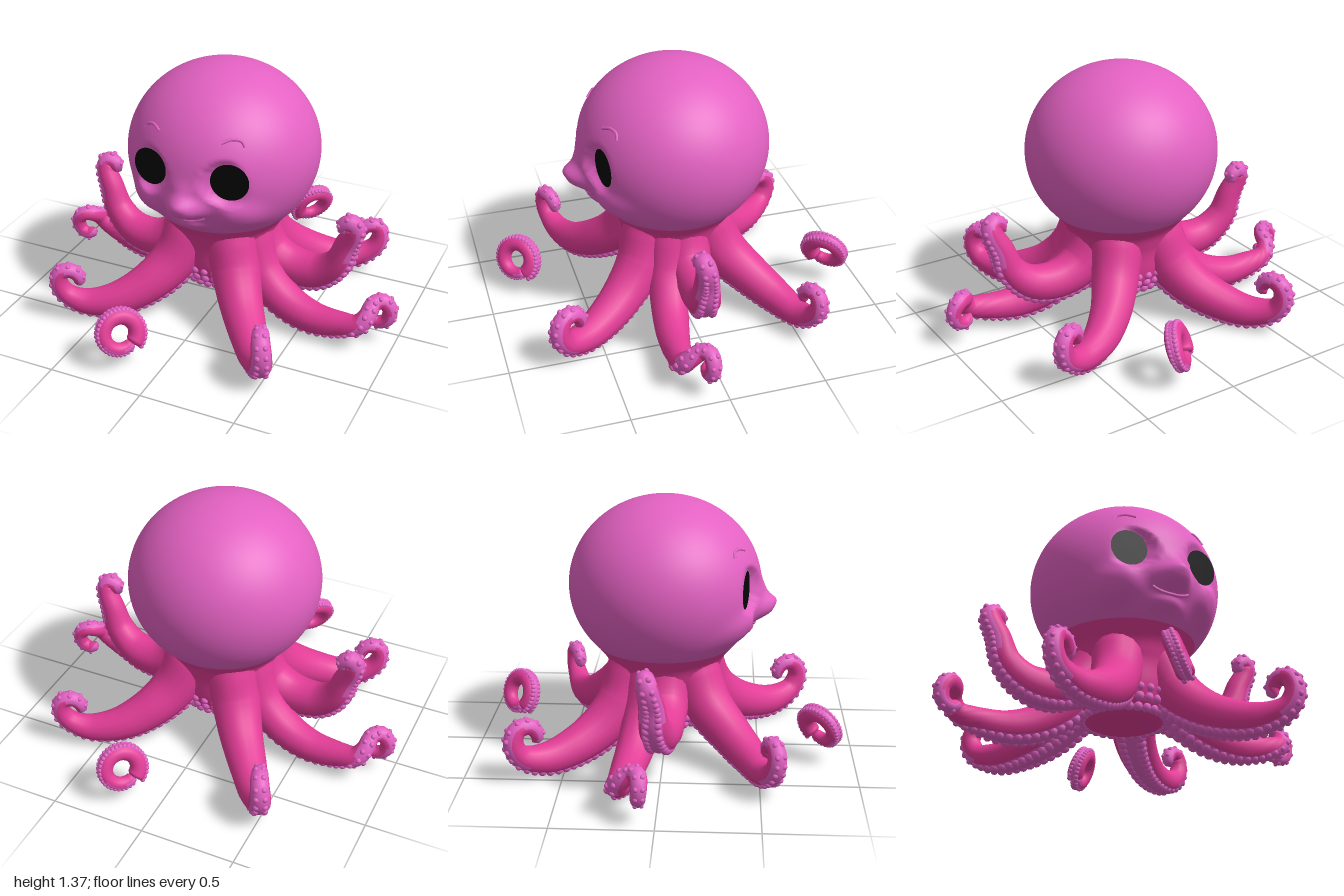
import * as THREE from 'three';
import { mergeGeometries, mergeVertices } from 'three/addons/utils/BufferGeometryUtils.js';

const V = (x, y, z) => new THREE.Vector3(x, y, z);
const { lerp, smoothstep } = THREE.MathUtils;

const orchid = new THREE.MeshStandardMaterial({ name: 'orchid', color: 0xe361c2 });
const pink = new THREE.MeshStandardMaterial({ name: 'hotPink', color: 0xe33d97 });
const black = new THREE.MeshStandardMaterial({ name: 'black', color: 0x050505 });

const HEAD_Y = 0.905, HEAD_H = 0.462, HEAD_R = 0.5;
const headRadius = y => HEAD_R * Math.sqrt(Math.max(0, 1 - ((y - HEAD_Y) / HEAD_H) ** 2));

// Face relief: [x, y, width, height, depth, bluntness], mirrored in x
const bumps = [
  [0, 0.785, 0.095, 0.065, 0.08, 1.7],  // nose
  [0, 0.86, 0.06, 0.06, 0.03, 1],       // bridge
  [0.27, 0.735, 0.095, 0.085, 0.04, 1.5], // cheek
  [0, 0.665, 0.08, 0.035, 0.03, 1.3],   // chin
];
const EYE_X = 0.215, EYE_Y = 0.935, EYE_SLOPE = 0.19;
const eyePlane = x => 0.412 - EYE_SLOPE * (Math.abs(x) - EYE_X);

function faceZ(x, y, z) {
  const ax = Math.abs(x);
  for (const [bx, by, w, h, d, blunt] of bumps) {
    z += d * Math.exp(-((((ax - bx) / w) ** 2 + ((y - by) / h) ** 2) ** blunt));
  }
  const d = Math.hypot(ax - EYE_X, y - EYE_Y);
  return z + (1 - smoothstep(d, 0.1, 0.13)) * Math.min(0, eyePlane(x) - z);
}
const surface = (x, y) => V(x, y, faceZ(x, y, Math.sqrt(Math.max(0, headRadius(y) ** 2 - x * x))));

function makeHead() {
  const profile = [];
  for (let i = 0; i <= 80; i++) {
    const a = lerp(-0.74, Math.PI / 2, i / 80);
    profile.push(new THREE.Vector2(HEAD_R * Math.cos(a), HEAD_Y + HEAD_H * Math.sin(a)));
  }
  let geo = new THREE.LatheGeometry(profile, 128);
  geo.deleteAttribute('uv');
  geo.deleteAttribute('normal');
  geo = mergeVertices(geo, 1e-5);
  const p = geo.attributes.position;
  for (let i = 0; i < p.count; i++) {
    if (p.getZ(i) > 0) p.setZ(i, faceZ(p.getX(i), p.getY(i), p.getZ(i)));
  }
  geo.computeVertexNormals();
  return geo;
}

function radiusAt(radii, u) {
  const f = u * (radii.length - 1), i = Math.min(Math.floor(f), radii.length - 2);
  return lerp(radii[i], radii[i + 1], f - i);
}

// Tapered arm along a path: pink tube, orchid sucker strip and two rows of suckers.
// The suckers start on the underside and turn to the outside of the curl.
function makeArm(name, points, radii, underside, curlCentre, stripFrom, roundStart) {
  const curve = new THREE.CatmullRomCurve3(points);
  const SEG = 72, SIDES = 16, frames = [];
  const N = underside.clone();
  for (let i = 0; i <= SEG; i++) {
    const u = i / SEG, T = curve.getTangentAt(u), c = curve.getPointAt(u);
    const outward = c.clone().sub(curlCentre).normalize();
    N.lerp(outward, 0.25 * smoothstep(u, 0.5, 0.75));
    N.addScaledVector(T, -N.dot(T)).normalize();
    frames.push({ c, n: N.clone(), b: T.clone().cross(N), r: radiusAt(radii, u), u });
  }
  const at = (f, a, r) => f.c.clone().addScaledVector(f.n, r * Math.cos(a)).addScaledVector(f.b, r * Math.sin(a));
  const cap = e => Math.sqrt(Math.max(0, 1 - (1 - Math.min(1, e / 0.04)) ** 2));

  const pos = [], top = [], strip = [];
  frames.forEach((f, i) => {
    const r = f.r * cap(1 - f.u) * (roundStart ? cap(f.u) : 1);
    for (let j = 0; j < SIDES; j++) pos.push(...at(f, j / SIDES * Math.PI * 2, r).toArray());
    if (i === SEG) return;
    const half = f.u > 0.88 ? 4 : f.u > 0.7 ? 3 : 2;
    for (let j = 0; j < SIDES; j++) {
      const k = (j + 1) % SIDES, a = i * SIDES + j, b = i * SIDES + k;
      const under = (j < half || j >= SIDES - half) && f.u >= stripFrom;
      (under ? strip : top).push(a, b, a + SIDES, b, b + SIDES, a + SIDES);
    }
  });
  const geo = new THREE.BufferGeometry();
  geo.setAttribute('position', new THREE.Float32BufferAttribute(pos, 3));
  geo.setIndex([...top, ...strip]);
  geo.addGroup(0, top.length, 0);
  geo.addGroup(top.length, strip.length, 1);
  geo.computeVertexNormals();
  const arm = new THREE.Mesh(geo, [pink, orchid]);
  arm.name = name;

  const balls = [];
  for (let i = Math.ceil(stripFrom * SEG) + 2; i < SEG - 2; i += 2) {
    for (const s of [-1, 1]) {
      const f = frames[i], q = at(f, s * 0.48, f.r * 0.88), size = f.r * 0.25 + 0.003;
      balls.push(new THREE.SphereGeometry(size, 8, 6).translate(q.x, q.y, q.z));
    }
  }
  const suckers = new THREE.Mesh(mergeGeometries(balls), orchid);
  suckers.name = name + 'Suckers';
  const group = new THREE.Group();
  group.name = name + 'Group';
  group.add(arm, suckers);
  return group;
}

export function createModel() {
  const model = new THREE.Group();
  model.name = 'octopus';
  const add = (name, geo, mat) => {
    const m = new THREE.Mesh(geo, mat);
    m.name = name;
    model.add(m);
    return m;
  };

  add('head', makeHead(), orchid);

  // Neck and underside that join the arms
  const neck = [[0, 0.15], [0.12, 0.15], [0.22, 0.19], [0.262, 0.28], [0.275, 0.4], [0.29, 0.46], [0.315, 0.525], [0.37, 0.594]];
  const neckCurve = new THREE.SplineCurve(neck.map(([x, y]) => new THREE.Vector2(x, y)));
  add('neck', new THREE.LatheGeometry(neckCurve.getPoints(36), 64), pink);

  // Suckers around the rim of the underside
  const rim = [];
  for (const [r, y, size] of [[0.215, 0.19, 0.026], [0.24, 0.235, 0.026], [0.257, 0.28, 0.022]]) {
    for (let i = 0; i < 30; i++) {
      const a = i / 30 * Math.PI * 2;
      rim.push(new THREE.SphereGeometry(size, 8, 6).translate(r * Math.sin(a), y, r * Math.cos(a)));
    }
  }
  add('rimSuckers', mergeGeometries(rim), orchid);

  // Eyes and brows
  for (const s of [-1, 1]) {
    const side = s > 0 ? 'left' : 'right';
    const eye = add(side + 'Eye', new THREE.CircleGeometry(0.097, 48), black);
    eye.position.set(s * EYE_X, EYE_Y, eyePlane(EYE_X) + 0.006);
    eye.rotation.y = s * Math.atan(EYE_SLOPE);
    const brow = [[0.27, 1.11], [0.25, 1.135], [0.21, 1.145], [0.165, 1.13]].map(([x, y]) => surface(s * x, y));
    add(side + 'Brow', new THREE.TubeGeometry(new THREE.CatmullRomCurve3(brow), 20, 0.008, 8), orchid);
  }

  // Smiling lip
  const smile = [];
  for (let i = -4; i <= 4; i++) smile.push(surface(i * 0.026, 0.705 + 0.0016 * i * i));
  add('mouth', new THREE.TubeGeometry(new THREE.CatmullRomCurve3(smile), 32, 0.009, 8), orchid);

  // Four arms, each repeated by a half turn about y
  const arms = {
    raisedArm: {
      path: [[0.15, 0.6, 0], [0.18, 0.46, -0.01], [0.26, 0.33, -0.015], [0.4, 0.27, -0.015], [0.55, 0.285, 0], [0.655, 0.375, 0.02],
        [0.7, 0.5, 0.03], [0.74, 0.59, 0.045], [0.74, 0.635, 0.055], [0.705, 0.64, 0.06], [0.69, 0.605, 0.06], [0.72, 0.595, 0.06]],
      radii: [0.13, 0.13, 0.12, 0.105, 0.095, 0.08, 0.066, 0.054, 0.036],
      curl: V(0.715, 0.61, 0.05),
    },
    sideArm: {
      path: [[0.15, 0.6, 0.05], [0.18, 0.45, 0.07], [0.26, 0.27, 0.095], [0.4, 0.15, 0.13], [0.56, 0.1, 0.16], [0.72, 0.11, 0.18],
        [0.83, 0.14, 0.19], [0.87, 0.19, 0.165], [0.885, 0.235, 0.11], [0.925, 0.242, 0.08], [0.962, 0.2, 0.075],
        [0.95, 0.135, 0.08], [0.9, 0.115, 0.085], [0.862, 0.155, 0.09]],
      radii: [0.13, 0.125, 0.11, 0.098, 0.085, 0.066, 0.046, 0.04, 0.032],
      curl: V(0.905, 0.18, 0.09),
    },
    frontArm: {
      path: [[0.11, 0.6, 0.12], [0.12, 0.46, 0.17], [0.165, 0.31, 0.22], [0.24, 0.19, 0.325], [0.34, 0.115, 0.46], [0.43, 0.09, 0.59],
        [0.505, 0.13, 0.7], [0.525, 0.21, 0.735], [0.51, 0.28, 0.71], [0.485, 0.285, 0.65], [0.475, 0.235, 0.62], [0.485, 0.2, 0.645]],
      radii: [0.13, 0.135, 0.13, 0.115, 0.1, 0.082, 0.058, 0.046, 0.034],
      curl: V(0.5, 0.22, 0.68),
    },
    cornerArm: {
      path: [[-0.12, 0.6, 0.11], [-0.13, 0.46, 0.16], [-0.185, 0.31, 0.23], [-0.28, 0.2, 0.34], [-0.42, 0.12, 0.45], [-0.57, 0.1, 0.52],
        [-0.67, 0.15, 0.56], [-0.7, 0.22, 0.575], [-0.685, 0.28, 0.57], [-0.63, 0.285, 0.545], [-0.6, 0.24, 0.53], [-0.62, 0.2, 0.535]],
      radii: [0.13, 0.135, 0.125, 0.11, 0.095, 0.076, 0.055, 0.043, 0.033],
      curl: V(-0.65, 0.22, 0.55),
    },
  };

  // Separate curled ring, leaning back, beside the front and back arms
  const ringPath = [], centre = V(-0.2, 0.193, 0.82), across = V(0.68, 0, -0.73), upward = V(-0.25, 0.93, -0.23);
  for (let i = 0; i <= 14; i++) {
    const a = -0.9 + i / 14 * Math.PI * 2.04, r = 0.092 - i * 0.0008;
    ringPath.push(centre.clone().addScaledVector(across, r * Math.cos(a)).addScaledVector(upward, r * Math.sin(a)));
  }

  for (const half of [0, 1]) {
    const set = new THREE.Group();
    set.name = half ? 'armsRotated' : 'arms';
    set.rotation.y = half * Math.PI;
    for (const [name, { path, radii, curl }] of Object.entries(arms)) {
      const pts = path.map(p => V(...p));
      const inward = V(-pts[4].x, -0.3, -pts[4].z);
      set.add(makeArm(name, pts, radii, inward, curl, 0.2, false));
    }
    const outward = ringPath[0].clone().sub(centre);
    set.add(makeArm('curledRing', ringPath, [0.046, 0.044, 0.039, 0.03], outward, centre, 0, true));
    model.add(set);
  }
  return model;
}
